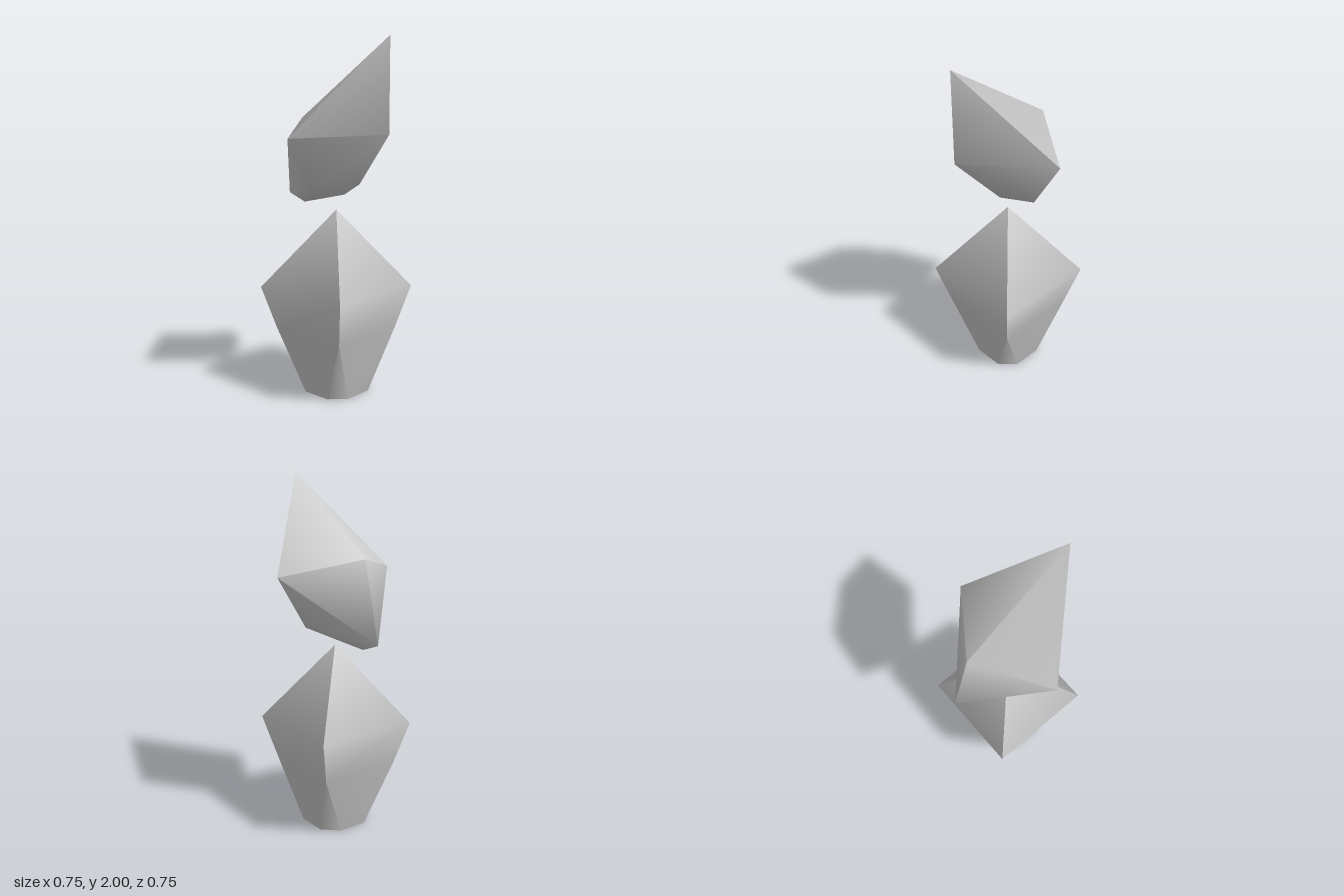
import * as THREE from 'three';
import { toCreasedNormals } from 'three/addons/utils/BufferGeometryUtils.js';
import { ConvexGeometry } from 'three/addons/geometries/ConvexGeometry.js';

const CREASE = THREE.MathUtils.degToRad(65);
const v = (x, y, z) => new THREE.Vector3(x, y, z);

function makeMesh(name, geometry) {
  const material = new THREE.MeshStandardMaterial({ color: 0xcccccc });
  const mesh = new THREE.Mesh(toCreasedNormals(geometry, CREASE), material);
  mesh.name = name;
  return mesh;
}

// Standing crystal: pyramid tip, tapering square body, foot with cut corners
function standingCrystal() {
  const points = [];
  const face = (turn, ...corners) => {
    const p = corners.map((c) => c.clone().applyAxisAngle(v(0, 1, 0), turn));
    for (let i = 1; i < p.length - 1; i++) points.push(p[0], p[i], p[i + 1]);
  };
  const ring = (half, y, z = half) => [v(-half, y, z), v(half, y, z)];
  const tip = v(0, 1.055, 0), centre = v(0, 0, 0);
  const [shoulderL, shoulderR] = ring(0.305, 0.61);
  const [waistL, waistR] = ring(0.24, 0.36);
  const [footL, footR] = ring(0.085, 0, 0.17);
  const footSide = v(0.17, 0, 0.085);
  for (let i = 0; i < 4; i++) {
    const turn = i * Math.PI / 2;
    face(turn, shoulderL, shoulderR, tip);
    face(turn, waistL, waistR, shoulderR, shoulderL);
    face(turn, footL, footR, waistR, waistL);
    face(turn, footR, footSide, waistR);
    face(turn, centre, footSide, footR, footL);
  }
  return new THREE.BufferGeometry().setFromPoints(points);
}

// Slanted floating crystal: a spine outline in the middle plane plus mirrored side corners
function floatingCrystal() {
  const points = [
    v(0.375, 2, 0), v(0.375, 1.49, 0), v(0.06, 1.145, 0),
    v(-0.25, 1.075, 0), v(-0.375, 1.12, 0), v(-0.265, 1.565, 0),
  ];
  for (const side of [-1, 1]) points.push(v(0, 1.47, side * 0.377), v(0, 1.18, side * 0.2));
  return new ConvexGeometry(points);
}

export function createModel() {
  const model = new THREE.Group();
  model.name = 'crystals';
  model.add(makeMesh('standingCrystal', standingCrystal()));
  model.add(makeMesh('floatingCrystal', floatingCrystal()));
  return model;
}
